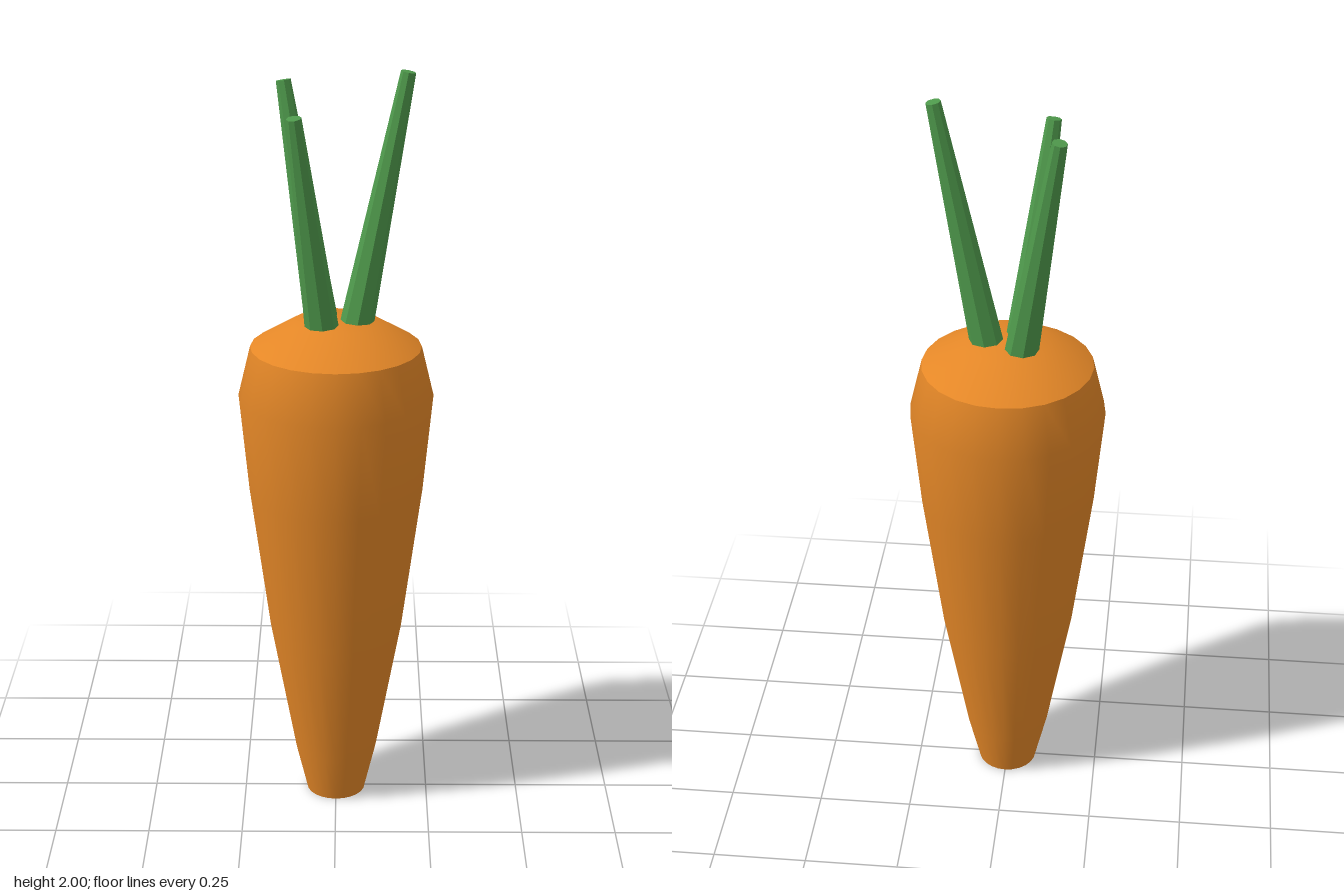
import * as THREE from 'three';

const orange = new THREE.MeshStandardMaterial({ color: 0xe48727 });
orange.name = 'carrot orange';
const green = new THREE.MeshStandardMaterial({ color: 0x4f9a4c, flatShading: true });
green.name = 'stem green';

// Revolve a [radius, height] profile, listed from bottom to top
function lathe(name, profile) {
  const points = profile.map(([r, y]) => new THREE.Vector2(r, y));
  const mesh = new THREE.Mesh(new THREE.LatheGeometry(points, 24), orange);
  mesh.name = name;
  return mesh;
}

// Tapered eight-sided stem from a base point to a tip point; twist turns its facets
function stem(name, base, tip, twist) {
  const a = new THREE.Vector3(...base);
  const b = new THREE.Vector3(...tip);
  const axis = b.clone().sub(a);
  const geometry = new THREE.CylinderGeometry(0.019, 0.044, axis.length(), 8);
  geometry.rotateY(twist);
  const mesh = new THREE.Mesh(geometry, green);
  mesh.name = name;
  mesh.position.copy(a).add(b).multiplyScalar(0.5);
  mesh.quaternion.setFromUnitVectors(new THREE.Vector3(0, 1, 0), axis.normalize());
  return mesh;
}

export function createModel() {
  const model = new THREE.Group();
  model.name = 'carrot';

  // Root: separate surfaces keep the rim and the cut tip sharp
  model.add(
    lathe('rootTip', [[0, 0], [0.079, 0]]),
    lathe('rootBody', [
      [0.079, 0], [0.111, 0.135], [0.176, 0.495], [0.228, 0.89], [0.253, 1.155], [0.221, 1.288],
    ]),
    lathe('rootCrown', [[0.221, 1.288], [0.11, 1.355], [0, 1.36]]),
  );

  // Stems fanning out of the crown
  model.add(
    stem('leftStem', [0.051, 1.335, 0], [0.178, 1.996, 0], 0),
    stem('backStem', [-0.037, 1.335, -0.04], [-0.133, 1.953, -0.112], 0.14),
    stem('frontStem', [-0.034, 1.335, 0.042], [-0.101, 1.908, 0.132], 0.08),
  );
  return model;
}
